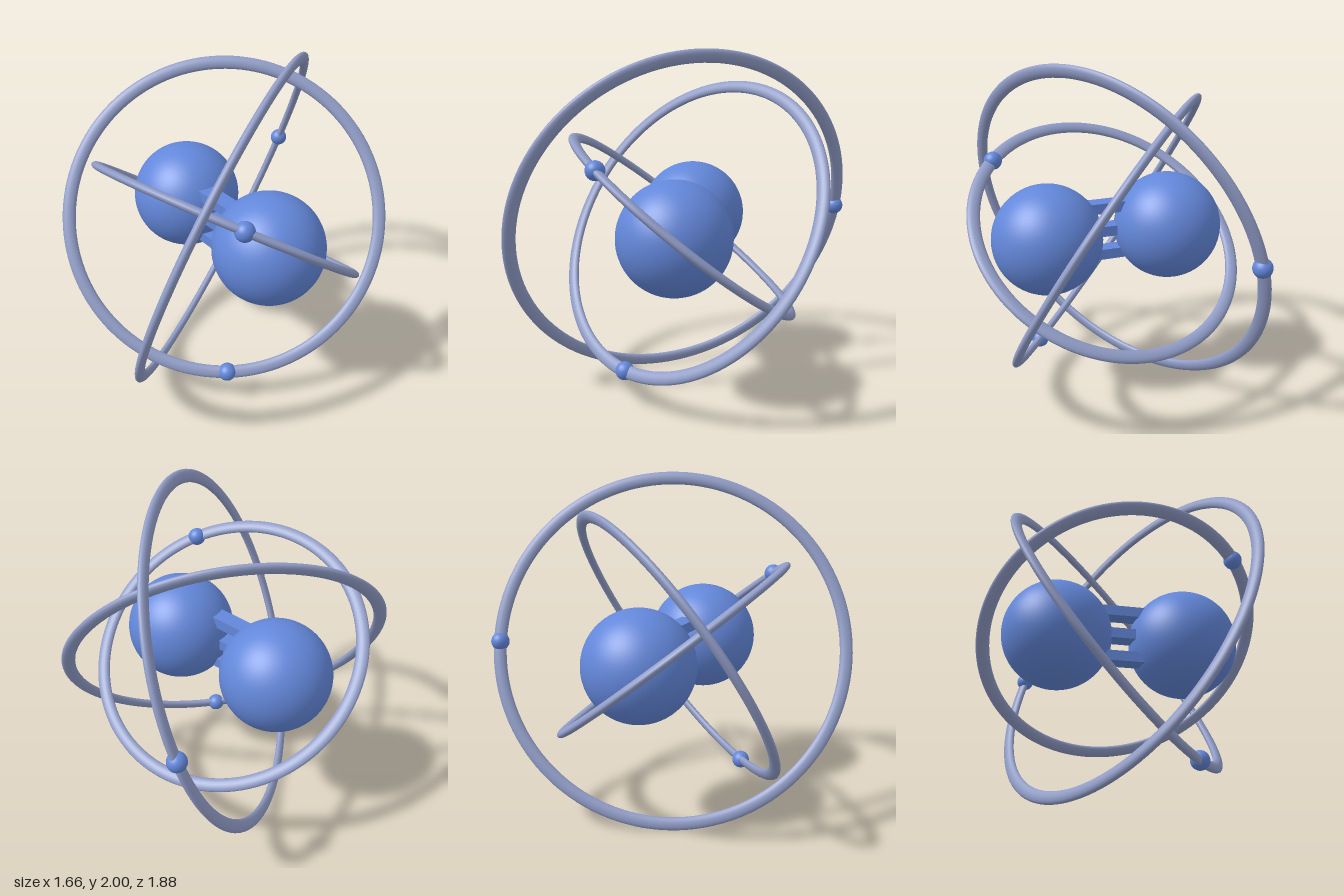
import * as THREE from 'three';

export function createModel() {
  const blue = new THREE.MeshStandardMaterial({ color: 0x6387da });
  blue.name = 'blue';
  const greyBlue = new THREE.MeshStandardMaterial({ color: 0x919dc8 });
  greyBlue.name = 'grey blue';

  const model = new THREE.Group();
  model.name = 'moleculeWithOrbits';
  const add = (name, geometry, material, x = 0, y = 0, z = 0) => {
    const mesh = new THREE.Mesh(geometry, material);
    mesh.name = name;
    mesh.position.set(x, y, z);
    model.add(mesh);
    return mesh;
  };

  // Two large atoms
  const atom = new THREE.SphereGeometry(0.32, 64, 40);
  add('leftAtom', atom, blue, 0.375, 0, 0);
  add('rightAtom', atom, blue, -0.375, 0, 0);

  // Triple bond between the atoms
  const bar = new THREE.BoxGeometry(0.5, 0.062, 0.1);
  for (const y of [-0.143, 0, 0.143]) add('bondBar', bar, blue, 0, y, 0.05);

  // Tilted orbits: flattened rings, each carrying one small ball
  const orbits = [
    { name: 'inner', radius: 0.8, normal: [-0.13, 0.777, -0.615], ball: [0.595, 0.38, 0.385] },
    { name: 'middle', radius: 0.912, normal: [0.688, 0.51, 0.52], ball: [0.375, -0.78, 0.3] },
    { name: 'outer', radius: 1.018, normal: [0.82, -0.324, -0.47], ball: [-0.495, 0.045, -0.888] },
  ];
  const zAxis = new THREE.Vector3(0, 0, 1);
  const electron = new THREE.SphereGeometry(0.053, 32, 20);
  for (const { name, radius, normal, ball } of orbits) {
    const n = new THREE.Vector3(...normal).normalize();
    const geometry = new THREE.TorusGeometry(radius, 0.038, 20, 128);
    geometry.scale(1, 1, 0.6);
    add(name + 'Orbit', geometry, greyBlue).quaternion.setFromUnitVectors(zAxis, n);

    // Seat the ball exactly on the ring
    const p = new THREE.Vector3(...ball).projectOnPlane(n).setLength(radius);
    add(name + 'Electron', electron, blue, p.x, p.y, p.z);
  }

  model.position.set(-0.006, 1.0, 0.005);
  const root = new THREE.Group();
  root.add(model);
  return root;
}
